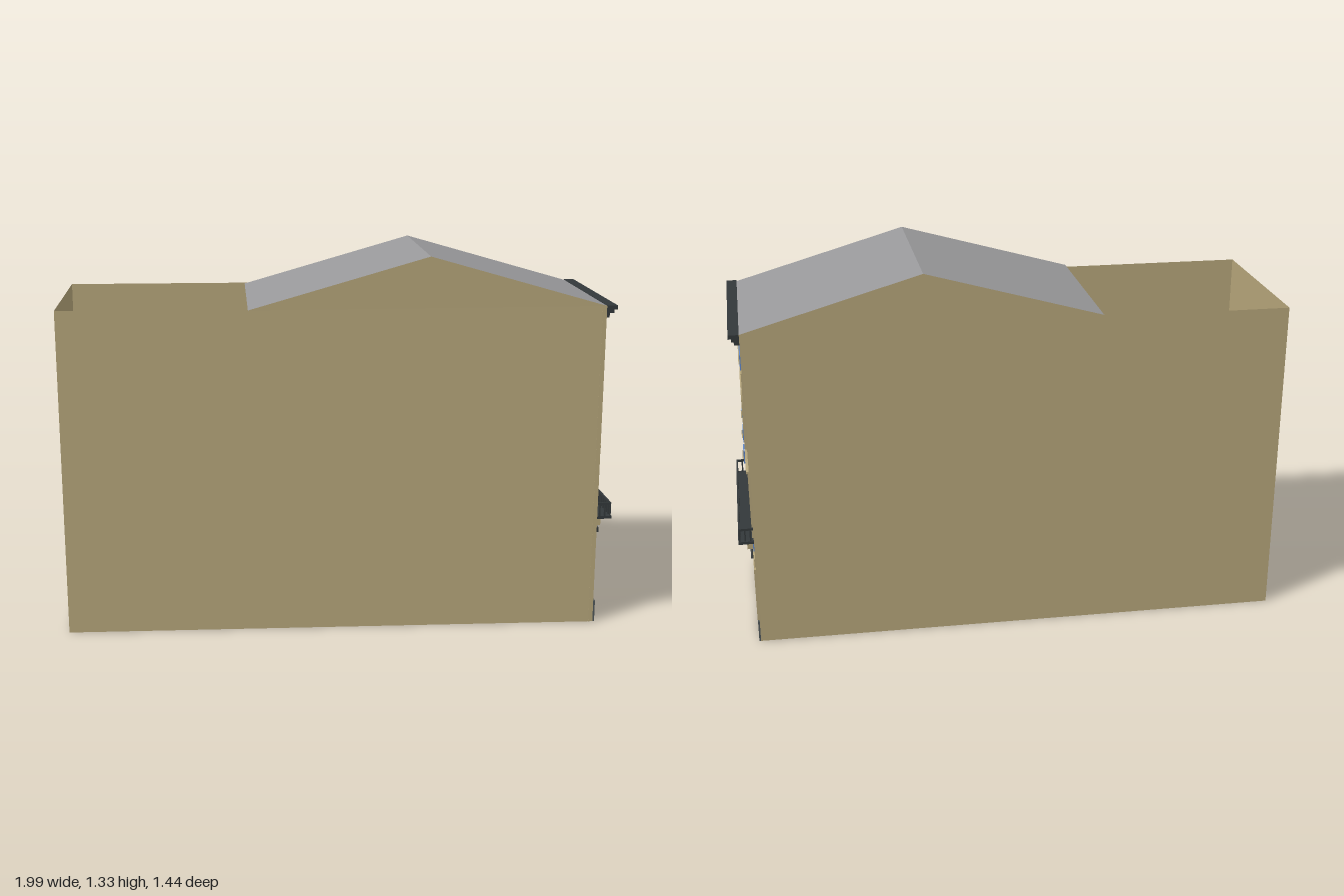
import * as THREE from 'three';

const mat = (name, color, side = THREE.FrontSide) => {
  const m = new THREE.MeshStandardMaterial({ color, side });
  m.name = name;
  return m;
};

export function createModel() {
  const stucco = mat('stucco', 0xb5a57a, THREE.DoubleSide);
  const slate = mat('roof grey', 0x98989a, THREE.DoubleSide);
  const glass = mat('dark grey', 0x50585a);
  const iron = mat('iron', 0x33383a);
  const blue = mat('blue', 0x5f88cc);

  const model = new THREE.Group();
  model.name = 'townhouse';
  const facade = new THREE.Group();
  facade.name = 'facade';
  facade.position.set(0.798, 0, -0.429);
  facade.rotation.y = Math.atan2(0.87, -0.494);
  model.add(facade);

  const put = (parent, name, geo, m) => {
    const mesh = new THREE.Mesh(geo, m);
    mesh.name = name;
    parent.add(mesh);
    return mesh;
  };
  // Flat polygon with three or four corners
  const face = (name, m, ...pts) => {
    const tris = pts.length === 4 ? [0, 1, 2, 0, 2, 3] : [0, 1, 2];
    const g = new THREE.BufferGeometry();
    g.setAttribute('position', new THREE.Float32BufferAttribute(tris.flatMap(i => pts[i]), 3));
    g.computeVertexNormals();
    return put(model, name, g, m);
  };
  // Box on the facade: horizontal centre, bottom, width, height, depth, back
  const box = (name, m, u, y, w, h, d, z = 0) => {
    const mesh = put(facade, name, new THREE.BoxGeometry(w, h, d), m);
    mesh.position.set(u, y + h / 2, z + d / 2);
    return mesh;
  };
  const outline = (u, y0, w, y1, Type = THREE.Shape) => {
    const s = new Type();
    s.moveTo(u - w / 2, y0);
    s.lineTo(u + w / 2, y0);
    s.lineTo(u + w / 2, y1);
    s.lineTo(u - w / 2, y1);
    s.closePath();
    return s;
  };
  const arch = (u, y0, w, spring, Type = THREE.Shape) => {
    const s = new Type();
    s.moveTo(u - w / 2, y0);
    s.lineTo(u + w / 2, y0);
    s.lineTo(u + w / 2, spring);
    s.absarc(u, spring, w / 2, 0, Math.PI, false);
    s.closePath();
    return s;
  };
  const relief = (name, m, shape, d, z = 0) => {
    const g = new THREE.ExtrudeGeometry(shape, { depth: d, bevelEnabled: false, curveSegments: 8 });
    g.translate(0, 0, z);
    return put(facade, name, g, m);
  };
  const frame = (name, outer, inner, d) => {
    outer.holes.push(inner);
    return relief(name, stucco, outer, d);
  };
  // Three-leaf ornament
  const ornament = (u, y, w, h, z) => {
    const s = new THREE.Shape([[-0.5, 0.1], [-0.15, 0.15], [0, 0], [0.15, 0.15], [0.5, 0.1], [0.3, 0.6],
      [0.15, 0.5], [0, 1], [-0.15, 0.5], [-0.3, 0.6]].map(([a, b]) => new THREE.Vector2(u + a * w, y + b * h)));
    return relief('leafOrnament', stucco, s, 0.004, z);
  };

  // Side and rear walls, open above and below
  const top = 1.15;
  const A = [0.949, -0.163], B = [0.647, -0.695], C = [-1, 0.187], D = [-0.703, 0.717];
  const at = ([x, z], y) => [x, y, z];
  const wall = (name, p, q) => face(name, stucco, at(p, 0), at(q, 0), at(q, top), at(p, top));
  wall('leftWall', D, A);
  wall('rearWall', C, D);
  wall('rightWall', B, C);

  // Pitched roof over the front part, with gables
  const E = [-0.12, 0.435], F = [-0.42, -0.1], R1 = [0.418, 0.135], R2 = [0.117, -0.398], peak = 1.325;
  face('frontRoofSlope', slate, at(A, top), at(B, top), at(R2, peak), at(R1, peak));
  face('rearRoofSlope', slate, at(F, top), at(E, top), at(R1, peak), at(R2, peak));
  face('leftGable', stucco, at(E, top), at(A, top), at(R1, peak));
  face('rightGable', stucco, at(B, top), at(F, top), at(R2, peak));

  // Facade wall with openings
  const bays = [-0.187, 0, 0.187];
  const front = outline(0, 0, 0.612, top);
  for (const u of bays) {
    front.holes.push(arch(u, 0.73, 0.132, 0.893, THREE.Path));
    front.holes.push(outline(u, 0.4, 0.138, 0.613, THREE.Path));
  }
  front.holes.push(outline(-0.105, 0.11, 0.27, 0.305, THREE.Path));
  relief('frontWall', stucco, front, 0.015, -0.015);

  // Plinth
  box('plinth', glass, 0, 0, 0.614, 0.08, 0.006);

  // Top cornice with brackets, and frieze
  box('corniceTop', iron, 0, 1.138, 0.625, 0.014, 0.036);
  box('corniceBottom', iron, 0, 1.125, 0.612, 0.013, 0.026);
  for (let i = 0; i < 7; i++) box('corniceBracket', iron, -0.27 + i * 0.09, 1.105, 0.016, 0.02, 0.018);
  box('frieze', blue, 0, 1.022, 0.582, 0.052, 0.004);
  for (let i = 0; i < 6; i++) ornament(-0.24 + i * 0.096, 1.034, 0.072, 0.028, 0.004);

  for (const u of bays) {
    // Arched upper window
    box('archedWindowGlass', glass, u, 0.72, 0.15, 0.25, 0.002, -0.014);
    box('archedWindowMullion', iron, u, 0.73, 0.006, 0.225, 0.004, -0.012);
    frame('archPanel', outline(u, 0.728, 0.182, 1.005), arch(u, 0.728, 0.164, 0.893, THREE.Path), 0.003);
    frame('archMoulding', arch(u, 0.728, 0.164, 0.893), arch(u, 0.728, 0.134, 0.893, THREE.Path), 0.008);

    // Balcony window with a small pediment and plaque
    box('balconyWindowGlass', glass, u, 0.395, 0.15, 0.225, 0.002, -0.014);
    box('balconyWindowMullion', iron, u, 0.4, 0.008, 0.213, 0.006, -0.012);
    frame('balconyWindowFrame', outline(u, 0.395, 0.176, 0.64), outline(u, 0.395, 0.138, 0.613, THREE.Path), 0.005);
    const pediment = new THREE.Shape([[-0.09, 0], [0.09, 0], [0.09, 0.008], [0.045, 0.03], [-0.045, 0.03], [-0.09, 0.008]]
      .map(([a, b]) => new THREE.Vector2(u + a, 0.64 + b)));
    relief('pediment', stucco, pediment, 0.01);
    box('plaque', blue, u, 0.652, 0.054, 0.05, 0.004, 0.01);
    ornament(u, 0.664, 0.036, 0.026, 0.014);
  }

  // Balcony: slab, rails, balusters and brackets
  const half = 0.3, reach = 0.05;
  box('balconySlab', iron, 0, 0.386, 2 * half + 0.004, 0.01, reach + 0.003);
  box('balconyRail', iron, 0, 0.437, 2 * half, 0.008, 0.006, reach - 0.006);
  for (let i = 0; i <= 26; i++) box('baluster', iron, -half + 0.003 + i * (2 * half - 0.006) / 26, 0.396, 0.006, 0.042, 0.005, reach - 0.005);
  for (const s of [-1, 1]) {
    box('balconySideRail', iron, s * (half - 0.003), 0.437, 0.006, 0.008, reach);
    for (let i = 0; i < 2; i++) box('sideBaluster', iron, s * (half - 0.003), 0.396, 0.005, 0.042, 0.005, 0.008 + i * 0.018);
  }
  box('signBand', blue, 0, 0.345, 0.56, 0.041, 0.004);
  for (const u of [-0.25, 0.005, 0.255]) box('balconyBracket', stucco, u, 0.35, 0.028, 0.036, 0.024);
  ornament(-0.1, 0.354, 0.07, 0.024, 0.004);

  // Shop front: cornice with studs, frame and glass
  const shop = -0.105;
  box('shopCornice', iron, shop, 0.328, 0.345, 0.018, 0.015);
  for (let i = 0; i < 3; i++) {
    const stud = put(facade, 'corniceStud', new THREE.CylinderGeometry(0.009, 0.009, 0.006, 10), stucco);
    stud.rotation.x = Math.PI / 2;
    stud.position.set(shop - 0.1 + i * 0.1, 0.339, 0.018);
  }
  frame('shopFrame', outline(shop, 0.1, 0.335, 0.328), outline(shop, 0.11, 0.27, 0.305, THREE.Path), 0.004);
  box('shopGlass', glass, shop, 0.105, 0.28, 0.205, 0.002, -0.014);

  // Shop grille with arched braces
  box('grilleTopRail', iron, shop, 0.295, 0.31, 0.01, 0.012);
  box('grilleBottomRail', iron, shop, 0.11, 0.27, 0.006, 0.008);
  for (let i = 0; i < 9; i++) box('grilleBar', iron, shop - 0.132 + i * 0.033, 0.115, 0.007, 0.18, 0.007);
  for (const s of [-1, 1]) {
    const curve = new THREE.QuadraticBezierCurve3(
      new THREE.Vector3(shop + s * 0.138, 0.19, 0.012),
      new THREE.Vector3(shop + s * 0.1, 0.29, 0.012),
      new THREE.Vector3(shop, 0.312, 0.012));
    put(facade, 'grilleBrace', new THREE.TubeGeometry(curve, 8, 0.005, 5), iron);
  }

  // Door with surround and overdoor panel
  box('door', blue, 0.205, 0.095, 0.136, 0.158, 0.003);
  frame('doorFrame', outline(0.205, 0.08, 0.18, 0.28), outline(0.205, 0.08, 0.136, 0.253, THREE.Path), 0.007);
  box('overdoorPanel', stucco, 0.205, 0.28, 0.146, 0.032, 0.004);

  return model;
}
